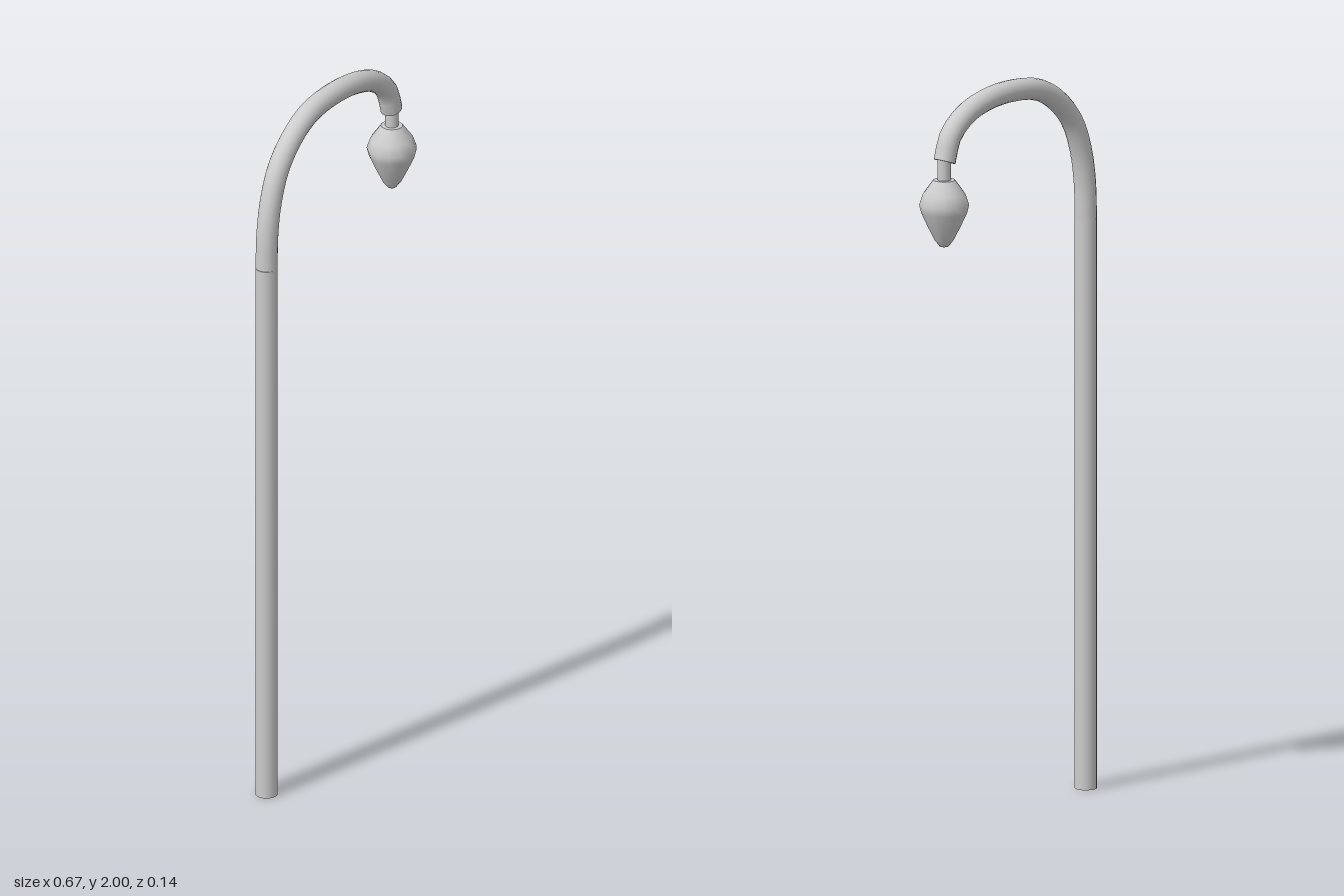
import * as THREE from 'three';

export function createModel() {
  const group = new THREE.Group();
  const material = new THREE.MeshStandardMaterial({ color: 0xcccccc });
  const add = (name, geometry, x = 0, y = 0) => {
    const mesh = new THREE.Mesh(geometry, material);
    mesh.name = name;
    mesh.position.set(x, y, 0);
    group.add(mesh);
    return mesh;
  };

  const radius = 0.03, poleX = -0.307, poleTop = 1.57, lampX = 0.27;

  // Straight upright
  add('pole', new THREE.CylinderGeometry(radius, radius, poleTop, 16), poleX, poleTop / 2);

  // Curved arm that bends over and ends above the lamp
  const path = new THREE.CatmullRomCurve3([
    [poleX, poleTop], [-0.303, 1.67], [-0.287, 1.76], [-0.252, 1.845], [-0.19, 1.912],
    [-0.11, 1.956], [0, 1.97], [0.1, 1.962], [0.185, 1.935], [0.245, 1.885], [0.268, 1.82],
  ].map(([x, y]) => new THREE.Vector3(x, y, 0)));
  add('arm', new THREE.TubeGeometry(path, 28, radius, 16));

  // Disc closing the end of the arm
  const cap = add('armEndCap', new THREE.CircleGeometry(radius, 16), 0.268, 1.82);
  cap.lookAt(cap.position.clone().add(path.getTangent(1)));

  // Short neck between arm and lamp
  add('neck', new THREE.CylinderGeometry(0.018, 0.018, 0.08, 13), lampX, 1.8);

  // Teardrop lamp with a flat top
  const sides = 13;
  const turn = (points) => new THREE.LatheGeometry(
    points.map(([r, y]) => new THREE.Vector2(r, y)), sides, Math.PI / 2 + Math.PI / sides);
  add('lamp', turn([
    [0, 1.584], [0.012, 1.587], [0.026, 1.605], [0.046, 1.645],
    [0.062, 1.68], [0.068, 1.703], [0.058, 1.732], [0.03, 1.77],
  ]), lampX);
  add('lampTop', turn([[0.03, 1.77], [0, 1.77]]), lampX);

  return group;
}
